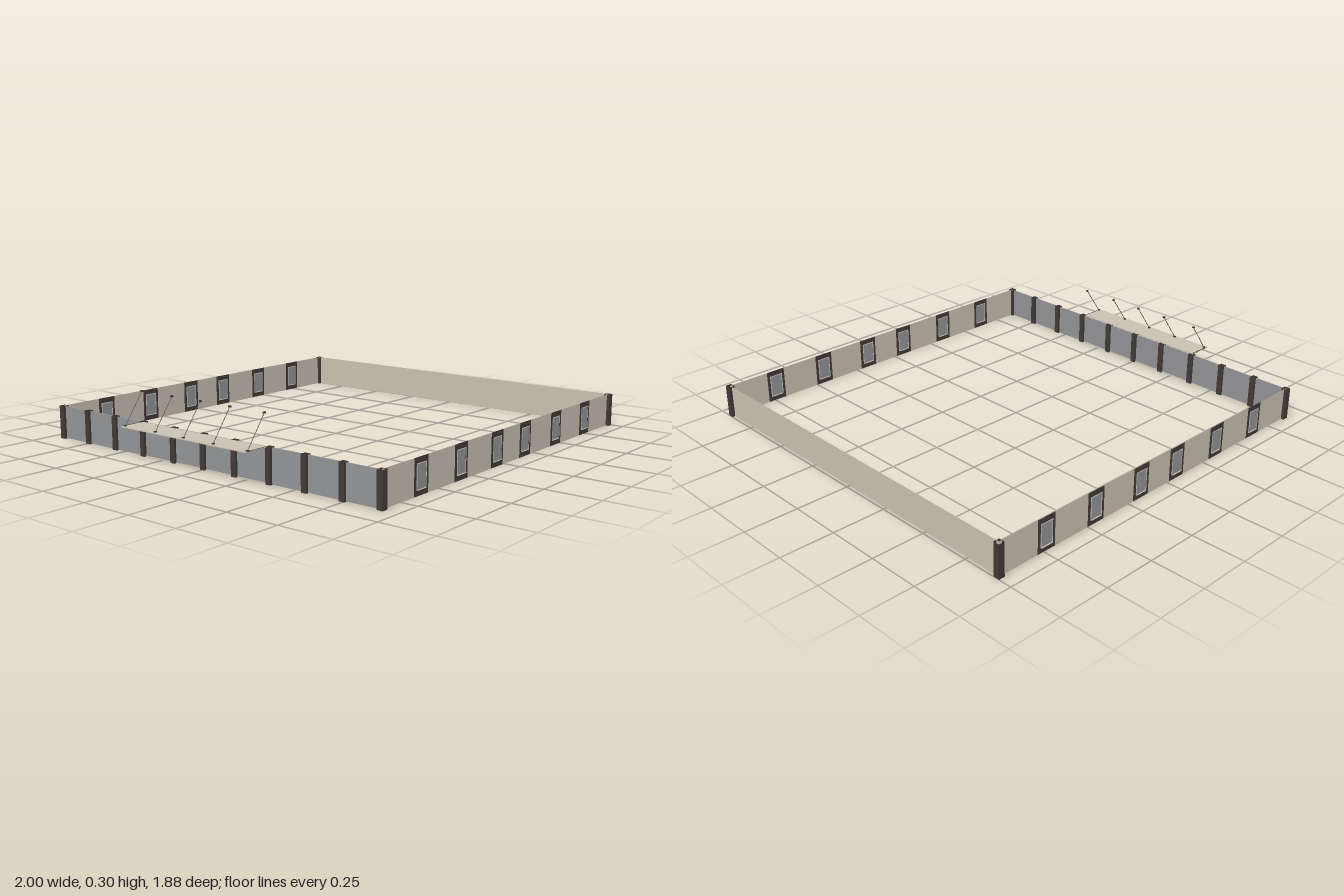
import * as THREE from 'three';

const mat = (name, color) => new THREE.MeshStandardMaterial({ name, color, side: THREE.DoubleSide });
const H = 0.155;                       // wall height
const XL = -0.871, XR = 0.985, Z = 0.923; // wall planes

export function createModel() {
  const root = new THREE.Group();
  root.name = 'courtyardBuilding';
  const beige = mat('beigePlaster', 0xcbc2b3);
  const dark = mat('darkTrim', 0x433a39);
  const grey = mat('greyGlass', 0x949597);
  const white = mat('paleTrim', 0xdedbd6);

  const add = (parent, name, geo, m, x = 0, y = 0, z = 0) => {
    const mesh = new THREE.Mesh(geo, m);
    mesh.name = name;
    mesh.position.set(x, y, z);
    parent.add(mesh);
    return mesh;
  };
  const plane = (w, h) => new THREE.PlaneGeometry(w, h);

  // Flat rectangular ring, centred on its opening's middle
  const ring = (w, h, iw, ih) => {
    const s = new THREE.Shape([[-w, -h], [w, -h], [w, h], [-w, h]].map(([x, y]) => new THREE.Vector2(x / 2, y / 2)));
    s.holes.push(new THREE.Path([[-iw, -ih], [-iw, ih], [iw, ih], [iw, -ih]].map(([x, y]) => new THREE.Vector2(x / 2, y / 2))));
    return new THREE.ShapeGeometry(s);
  };

  // Square post without top or bottom caps
  const postGeo = (side) => {
    const g = new THREE.CylinderGeometry(side / Math.SQRT2, side / Math.SQRT2, H, 4, 1, true)
      .rotateY(Math.PI / 4).toNonIndexed();
    g.computeVertexNormals();
    return g;
  };

  // Front and back walls with framed windows
  const windows = [-0.619, -0.338, -0.06, 0.175, 0.453, 0.735];
  const frameW = 0.095, openW = 0.064, openH = 0.105;
  for (const [side, label] of [[1, 'front'], [-1, 'back']]) {
    const wall = new THREE.Group();
    wall.name = label + 'Wall';
    wall.position.z = side * Z;
    root.add(wall);
    let start = XL;
    for (const x of [...windows, XR + frameW / 2]) {
      const end = x - frameW / 2;
      add(wall, 'wallPanel', plane(end - start, H), beige, (start + end) / 2, H / 2);
      start = x + frameW / 2;
    }
    for (const x of windows) {
      const win = new THREE.Group();
      win.name = 'window';
      win.position.set(x, H / 2, 0);
      wall.add(win);
      add(win, 'windowSurround', ring(frameW, H, openW, openH), dark);
      add(win, 'windowGlass', plane(openW, openH), grey);
      for (const s of [1, -1])
        add(win, 'windowTrim', ring(openW + 0.003, openH + 0.003, openW - 0.005, openH - 0.005), white, 0, 0, s * 0.002);
      add(win, 'windowSill', plane(0.06, 0.013).rotateX(-Math.PI / 2), beige, 0, -openH / 2);
    }
  }

  // Plain side wall
  add(root, 'leftWall', plane(2 * Z, H).rotateY(Math.PI / 2), beige, XR, H / 2, 0);

  // Corner posts
  for (const x of [XL, XR]) for (const z of [-Z, Z])
    add(root, 'cornerPost', postGeo(0.029), dark, x, H / 2, z);

  // Glazed entrance side: panes between posts
  const posts = [-0.743, -0.556, -0.37, -0.18, 0, 0.18, 0.37, 0.556, 0.743];
  for (const z of posts) add(root, 'facadePost', postGeo(0.027), dark, XL, H / 2, z);
  const stops = [-Z, ...posts, Z];
  for (let i = 0; i < stops.length - 1; i++) {
    const a = stops[i] + 0.0135, b = stops[i + 1] - 0.0135, mid = (a + b) / 2;
    add(root, 'facadeGlass', new THREE.BoxGeometry(0.005, H - 0.004, b - a), grey, XL, H / 2, mid);
    // Door thresholds under the canopy
    if (Math.abs(mid) < 0.36)
      add(root, 'doorThreshold', new THREE.BoxGeometry(0.014, 0.004, b - a), beige, XL, 0.002, mid);
  }

  // Canopy with hangers
  const canopy = new THREE.Group();
  canopy.name = 'canopy';
  root.add(canopy);
  add(canopy, 'canopySlab', new THREE.BoxGeometry(0.12, 0.004, 0.73), beige, -0.94, 0.153, -0.003);
  const low = new THREE.Vector3(-0.985, 0.156, 0), high = new THREE.Vector3(-0.886, 0.293, 0);
  const dir = high.clone().sub(low);
  for (const z of [-0.358, -0.17, 0, 0.17, 0.358]) {
    const rod = add(canopy, 'hangerRod', new THREE.CylinderGeometry(0.0015, 0.0015, dir.length(), 6), dark,
      (low.x + high.x) / 2, (low.y + high.y) / 2, z);
    rod.quaternion.setFromUnitVectors(new THREE.Vector3(0, 1, 0), dir.clone().normalize());
    for (const p of [low, high])
      add(canopy, 'hangerJoint', new THREE.BoxGeometry(0.01, 0.007, 0.01), dark, p.x, p.y, z);
  }
  for (const z of [-0.366, 0.36])
    add(canopy, 'canopyEdge', new THREE.BoxGeometry(0.1, 0.005, 0.004), dark, -0.936, 0.153, z);
  return root;
}
